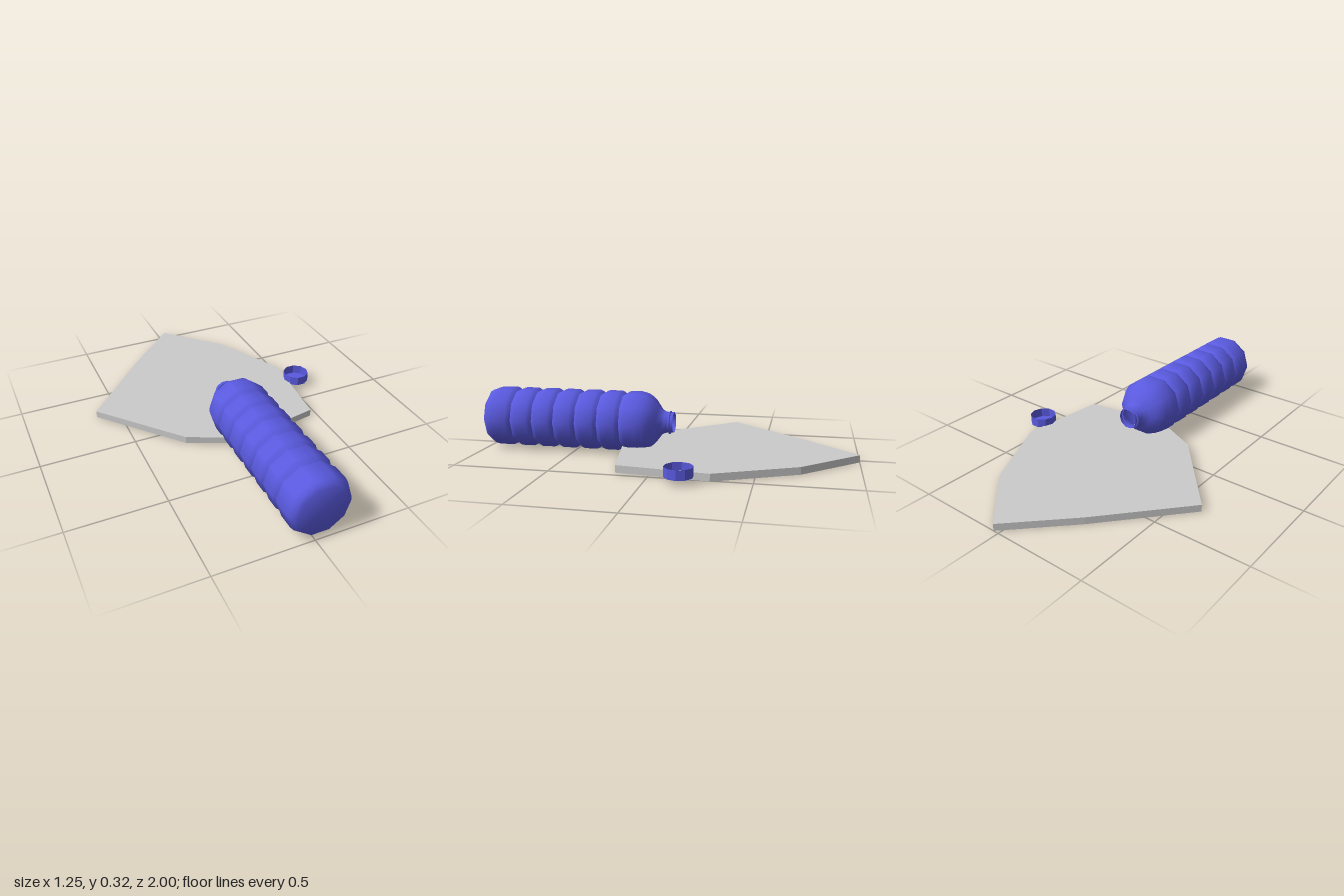
import * as THREE from 'three';
import { toCreasedNormals } from 'three/addons/utils/BufferGeometryUtils.js';

const SIDES = 10;
const blue = new THREE.MeshStandardMaterial({ color: 0x5a5ae0, side: THREE.DoubleSide });
const grey = new THREE.MeshStandardMaterial({ color: 0xcccccc });

// Ten-sided revolved part with a corner on the x axis
function lathe(name, profile, crease) {
  const points = profile.map(([r, y]) => new THREE.Vector2(r, y));
  const geometry = new THREE.LatheGeometry(points, SIDES, Math.PI / 2);
  const mesh = new THREE.Mesh(toCreasedNormals(geometry, crease), blue);
  mesh.name = name;
  return mesh;
}

// Flat, irregular slab on the ground
function createSlab() {
  const outline = [
    [0.03, -1], [-0.26, -0.71], [-0.625, -0.3], [-0.26, 0.12],
    [0.02, 0.25], [0.46, 0.17], [0.51, -0.3], [0.31, -0.71],
  ];
  const shape = new THREE.Shape(outline.map(([x, z]) => new THREE.Vector2(x, -z)));
  const geometry = new THREE.ExtrudeGeometry(shape, { depth: 0.038, bevelEnabled: false });
  geometry.rotateX(-Math.PI / 2);
  const mesh = new THREE.Mesh(geometry, grey);
  mesh.name = 'slab';
  return mesh;
}

// Ribbed bottle on its side, from the open mouth to the base
function createBottle() {
  const R = 0.162;
  const profile = [
    // mouth, collar and neck
    [0.055, -0.035], [0.055, -0.02], [0.062, -0.018], [0.062, -0.01], [0.055, -0.008],
    // shoulder
    [0.058, 0.01], [0.068, 0.028], [0.092, 0.045], [0.117, 0.063],
    [0.138, 0.085], [0.153, 0.112], [R, 0.15],
  ];
  // grooves between the ribs
  for (let i = 0; i < 6; i++) {
    const z = 0.235 + i * 0.121;
    profile.push([R, z - 0.025], [R - 0.006, z - 0.012], [R - 0.015, z],
      [R - 0.006, z + 0.012], [R, z + 0.025]);
  }
  // rounded base
  profile.push([R, 0.945], [0.157, 0.97], [0.146, 0.988], [0.127, 1], [0, 1]);
  const bottle = lathe('bottle', profile, 0.75);
  bottle.rotation.x = Math.PI / 2;
  bottle.position.set(0.03, 0.165, 0);
  return bottle;
}

// Loose cap, lying with its open side up
function createCap() {
  const cap = lathe('cap', [[0, 0], [0.071, 0], [0.071, 0.05]], 0.5);
  cap.position.set(0.55, 0.028, -0.16);
  return cap;
}

export function createModel() {
  const group = new THREE.Group();
  group.name = 'bottleOnSlab';
  group.add(createSlab(), createBottle(), createCap());
  return group;
}
